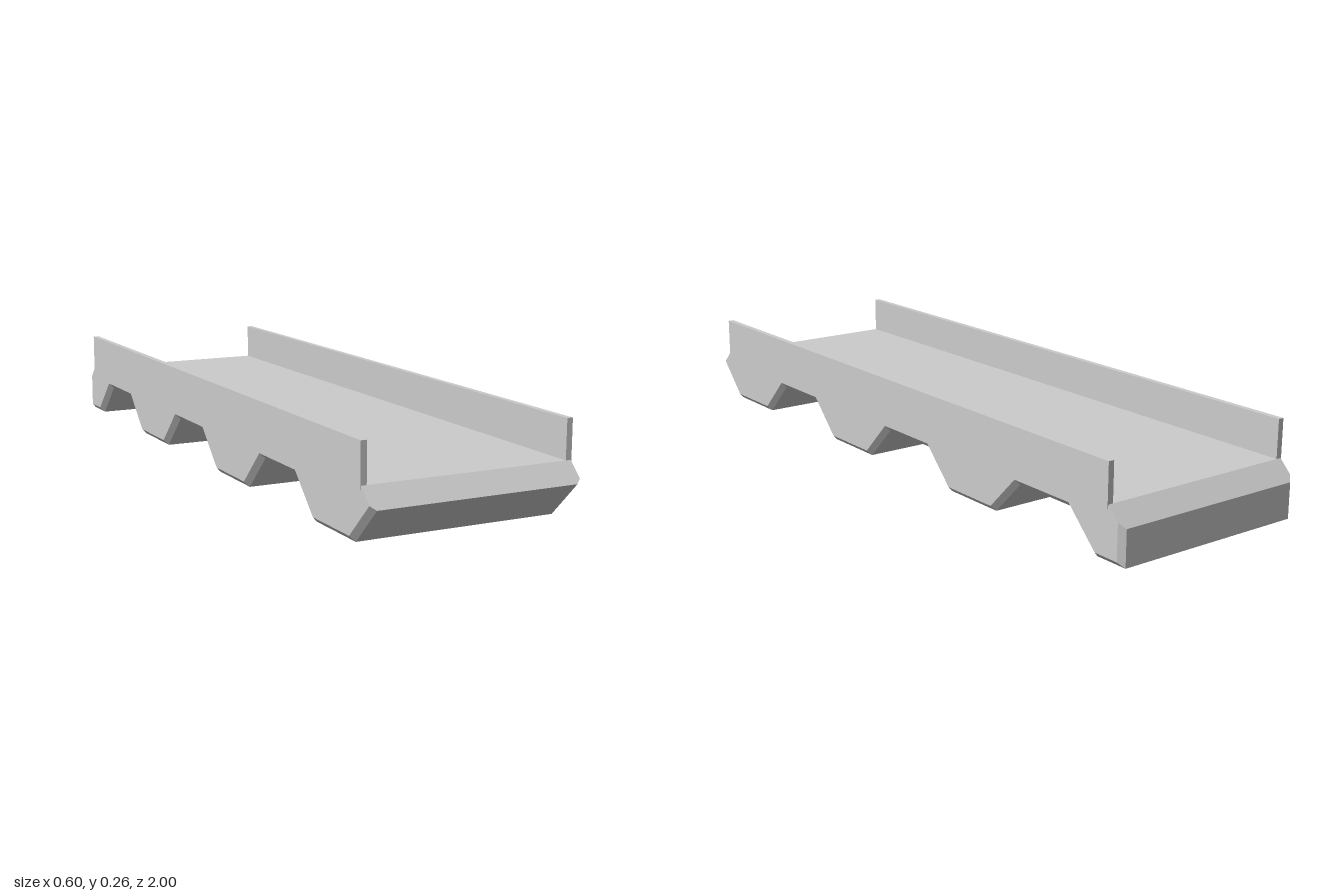
import * as THREE from 'three';

const HALF_LENGTH = 0.95, DECK_TOP = 0.15, BEVEL = 0.015;

// Side outline of the deck as [z, y], from the front top edge round the underside.
function deckOutline() {
  const pts = [[HALF_LENGTH, DECK_TOP], [1, 0.1]];
  // Three ribs, each followed by a raised channel
  for (const z of [0.9, 0.3, -0.3]) {
    pts.push([z, 0], [z - 0.2, 0], [z - 0.3, 0.1], [z - 0.5, 0.1]);
  }
  pts.push([-0.9, 0], [-1, 0], [-1, 0.1], [-HALF_LENGTH, DECK_TOP]);
  return pts;
}

// Moves the underside edges inwards; the top and the two end slopes stay in place.
function insetOutline(pts, amount) {
  const n = pts.length;
  const edges = pts.map((p, i) => {
    const q = pts[(i + 1) % n];
    const dz = q[0] - p[0], dy = q[1] - p[1], len = Math.hypot(dz, dy);
    const fixed = i === 0 || i >= n - 2;
    return { a: dy / len, b: -dz / len, d: fixed ? 0 : amount };
  });
  return pts.map(([z, y], i) => {
    const e = edges[(i + n - 1) % n], f = edges[i];
    const det = e.a * f.b - e.b * f.a;
    return [z + (e.d * f.b - e.b * f.d) / det, y + (e.a * f.d - e.d * f.a) / det];
  });
}

// Joins the cross-sections along x and closes both sides.
function deckGeometry() {
  const full = deckOutline(), inset = insetOutline(full, BEVEL), n = full.length;
  const sections = [[-0.3, inset], [-0.285, full], [0.285, full], [0.3, inset]]
    .map(([x, pts]) => pts.map(([z, y]) => [x, y, z]));
  const pos = [];
  const tri = (a, b, c) => pos.push(...a, ...b, ...c);
  for (let s = 0; s < sections.length - 1; s++) {
    const A = sections[s], B = sections[s + 1];
    for (let i = 0; i < n; i++) {
      const j = (i + 1) % n;
      tri(A[i], A[j], B[j]);
      tri(A[i], B[j], B[i]);
    }
  }
  const flat = inset.map(([z, y]) => new THREE.Vector2(-z, y));
  const first = sections[0], last = sections[3];
  for (const [a, b, c] of THREE.ShapeUtils.triangulateShape(flat, [])) {
    tri(last[a], last[b], last[c]);
    tri(first[a], first[c], first[b]);
  }
  const geo = new THREE.BufferGeometry();
  geo.setAttribute('position', new THREE.Float32BufferAttribute(pos, 3));
  geo.computeVertexNormals();
  return geo;
}

export function createModel() {
  const group = new THREE.Group();
  group.name = 'ribbedTray';
  const material = new THREE.MeshStandardMaterial({ color: 0xcccccc, flatShading: true });

  // Deck with ribbed underside
  const deck = new THREE.Mesh(deckGeometry(), material);
  deck.name = 'ribbedDeck';
  group.add(deck);

  // Upright rails along both long sides
  const railGeo = new THREE.BoxGeometry(0.017, 0.118, HALF_LENGTH * 2);
  for (const side of [-1, 1]) {
    const rail = new THREE.Mesh(railGeo, material);
    rail.name = side > 0 ? 'leftRail' : 'rightRail';
    rail.position.set(side * 0.2935, 0.199, 0);
    group.add(rail);
  }
  return group;
}
